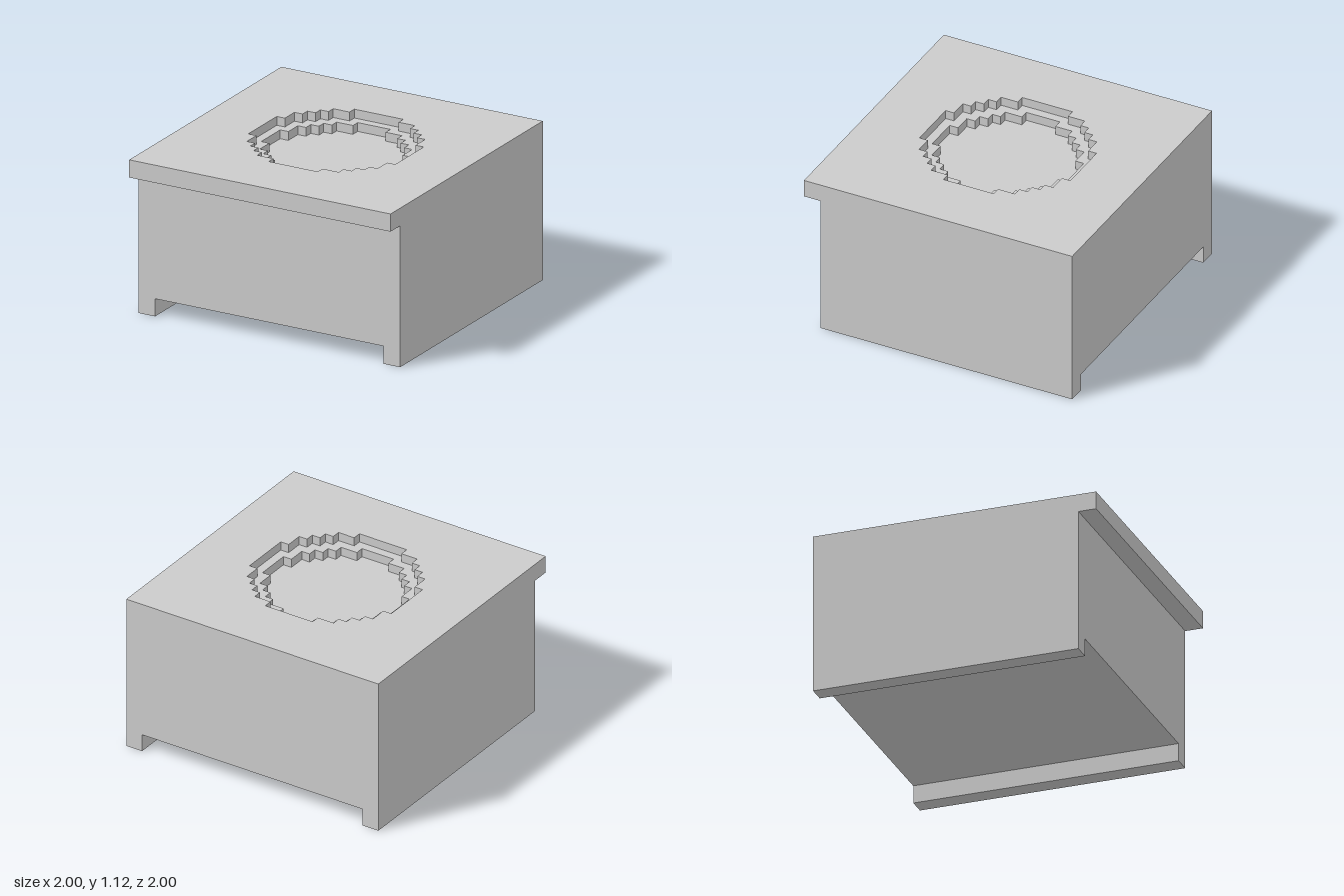
import * as THREE from 'three';

const U = 1 / 16; // one block unit

// Stepped round outline: one quadrant of corners, turned four times
function steppedRing(quadrant) {
  const points = [];
  let corners = quadrant;
  for (let i = 0; i < 4; i++) {
    points.push(...corners.map(([x, y]) => new THREE.Vector2(x * U, y * U)));
    corners = corners.map(([x, y]) => [y, -x]);
  }
  return points;
}

export function createModel() {
  const model = new THREE.Group();
  const material = new THREE.MeshStandardMaterial({ color: 0xcccccc, flatShading: true });

  function add(name, geometry, x, y, z) {
    const mesh = new THREE.Mesh(geometry, material);
    mesh.name = name;
    mesh.position.set(x * U, y * U, z * U);
    model.add(mesh);
  }

  function box(name, w, h, d, x, y, z) {
    add(name, new THREE.BoxGeometry(w * U, h * U, d * U), x, y, z);
  }

  // Square top layer with a stepped round opening
  function topLayer(name, quadrant, y) {
    const shape = new THREE.Shape([[-1, -1], [1, -1], [1, 1], [-1, 1]].map(p => new THREE.Vector2(...p)));
    shape.holes.push(new THREE.Path(steppedRing(quadrant)));
    const geometry = new THREE.ExtrudeGeometry(shape, { depth: U, bevelEnabled: false });
    geometry.rotateX(-Math.PI / 2);
    add(name, geometry, 0, y, 0);
  }

  // Body, whose top is the basin floor
  box('body', 32, 14, 30, 0, 9, -1);

  // Runners along both sides
  for (const [name, side] of [['leftRunner', 1], ['rightRunner', -1]]) {
    box(name, 2, 2, 30, side * 15, 1, -1);
  }

  // Counter top, overhanging the front, with a two-step basin
  topLayer('counterLower', [[2, 8], [2, 7], [4, 7], [4, 6], [5, 6], [5, 5], [6, 5], [6, 4], [7, 4], [7, 2], [8, 2]], 16);
  topLayer('counterUpper', [[3, 9], [3, 8], [5, 8], [5, 7], [6, 7], [6, 6], [7, 6], [7, 5], [8, 5], [8, 3], [9, 3]], 17);

  return model;
}
